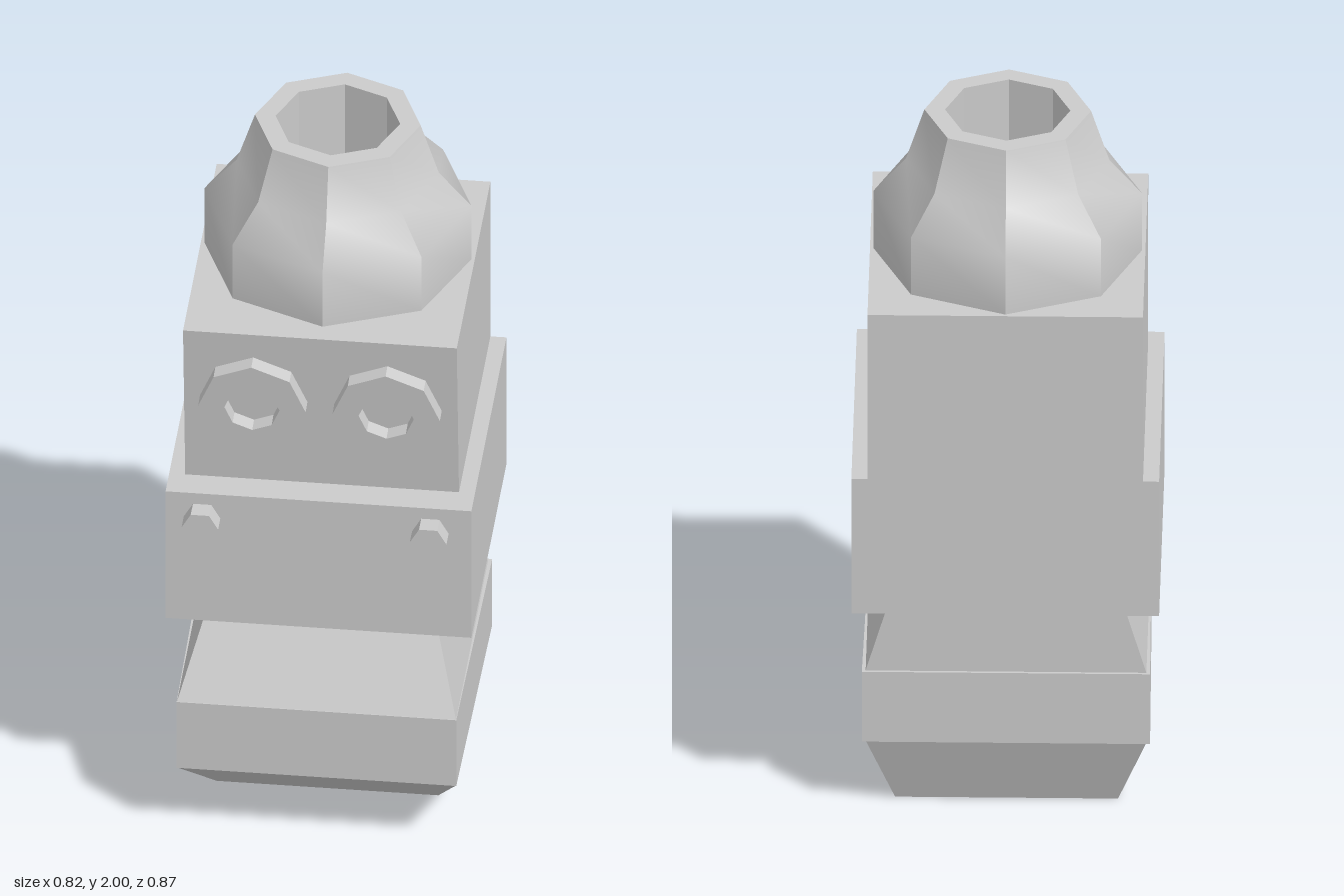
import * as THREE from 'three';
import { mergeGeometries, toCreasedNormals } from 'three/addons/utils/BufferGeometryUtils.js';

const grey = new THREE.MeshStandardMaterial({ color: 0xcccccc });

function add(parent, name, geometry) {
  const mesh = new THREE.Mesh(geometry, grey);
  mesh.name = name;
  parent.add(mesh);
  return mesh;
}

// Tapered block between two levels: { y, front, back, wf, wb }
// wf and wb are the half widths at the front and back edges.
function taperedBlock(bottom, top) {
  const geo = new THREE.BoxGeometry(1, 1, 1);
  const p = geo.attributes.position;
  for (let i = 0; i < p.count; i++) {
    const level = p.getY(i) > 0 ? top : bottom;
    const isFront = p.getZ(i) > 0;
    const half = isFront ? level.wf : level.wb;
    p.setXYZ(i, Math.sign(p.getX(i)) * half, level.y, isFront ? level.front : level.back);
  }
  geo.computeVertexNormals();
  return geo;
}

const level = (y, front, back, wf, wb = wf) => ({ y, front, back, wf, wb });

// Octagonal turning: sharp between sides, soft along the profile
function facetedLathe(points, sides) {
  const profile = points.map(([r, y]) => new THREE.Vector2(r, y));
  const step = (Math.PI * 2) / sides;
  const facets = [];
  for (let i = 0; i < sides; i++) {
    facets.push(toCreasedNormals(new THREE.LatheGeometry(profile, 1, i * step, step), 1));
  }
  return mergeGeometries(facets);
}

function polygon(PathType, radius, sides) {
  const points = [];
  for (let i = 0; i < sides; i++) {
    const a = (i / sides) * Math.PI * 2;
    points.push(new THREE.Vector2(Math.cos(a) * radius, Math.sin(a) * radius));
  }
  return new PathType(points);
}

export function createModel() {
  const model = new THREE.Group();
  model.name = 'robotHead';

  // Lower jaw: three stacked blocks, floating just below the face
  const jaw = new THREE.Group();
  jaw.name = 'jaw';
  model.add(jaw);
  add(jaw, 'chin', taperedBlock(
    level(0, 0.17, -0.245, 0.297), level(0.215, 0.428, -0.325, 0.374)));
  add(jaw, 'jawBand', taperedBlock(
    level(0.215, 0.43, -0.331, 0.375, 0.384), level(0.428, 0.43, -0.331, 0.375, 0.384)));
  add(jaw, 'jawTop', taperedBlock(
    level(0.428, 0.428, -0.323, 0.374), level(0.645, 0.31, -0.323, 0.31)));

  // Face blocks, the upper one with a brow that leans forward
  add(model, 'lowerFace', taperedBlock(
    level(0.665, 0.382, -0.437, 0.41), level(1.075, 0.382, -0.437, 0.41)));
  add(model, 'upperFace', taperedBlock(
    level(1.075, 0.297, -0.437, 0.367), level(1.576, 0.348, -0.437, 0.367)));

  // Eye rings, lying on the leaning face
  const ring = polygon(THREE.Shape, 0.144, 8);
  ring.holes.push(polygon(THREE.Path, 0.074, 8));
  const eyeGeo = new THREE.ExtrudeGeometry(ring, { depth: 0.044, bevelEnabled: false });
  for (const side of [-1, 1]) {
    const eye = add(model, side > 0 ? 'leftEye' : 'rightEye', eyeGeo);
    eye.position.set(side * 0.18, 1.355, 0.324);
    eye.rotation.x = Math.atan2(0.051, 0.501);
  }

  // Hexagonal cheek bolts
  const boltGeo = new THREE.ExtrudeGeometry(polygon(THREE.Shape, 0.049, 6),
    { depth: 0.055, bevelEnabled: false });
  for (const [name, x] of [['rightBolt', -0.312], ['leftBolt', 0.3]]) {
    add(model, name, boltGeo).position.set(x, 0.998, 0.379);
  }

  // Hollow octagonal crown
  const crown = add(model, 'crown', facetedLathe([
    [0.358, 1.575], [0.358, 1.75], [0.271, 1.85], [0.222, 2],
    [0.167, 2], [0.167, 1.59], [0, 1.59],
  ], 8));
  crown.position.z = -0.07;

  return model;
}
